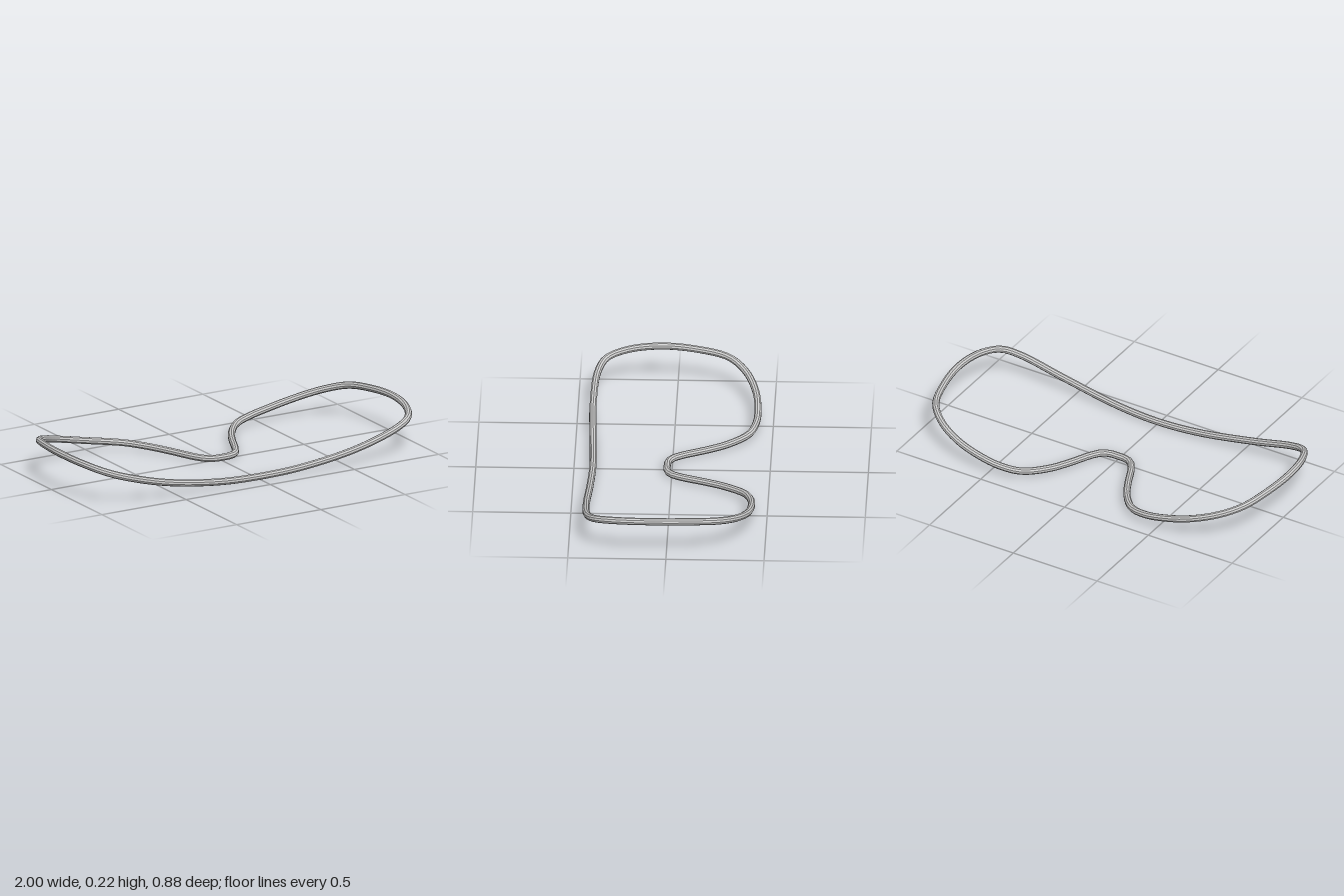
import * as THREE from 'three';

export function createModel() {
  const group = new THREE.Group();
  group.name = 'curvedWireFrame';
  const paleGrey = new THREE.MeshStandardMaterial({ color: 0xcccccc, flatShading: true });
  paleGrey.name = 'paleGrey';

  // Plan outline of the left half (x, z), from the nose notch round to the brow
  const half = [
    [0, 0.025], [0.05, 0.022], [0.085, 0.004], [0.12, -0.045], [0.18, -0.175], [0.235, -0.275],
    [0.33, -0.38], [0.43, -0.415], [0.53, -0.421], [0.68, -0.405], [0.82, -0.35],
    [0.915, -0.26], [0.963, -0.1], [0.981, 0.08], [0.957, 0.25], [0.9, 0.36],
    [0.81, 0.402], [0.57, 0.42], [0.25, 0.41], [0, 0.403],
  ];
  const mirrored = half.slice(1, -1).reverse().map(([x, z]) => [-x, z]);

  // Bend the outline: height rises with the square of x
  const points = [...half, ...mirrored].map(
    ([x, z]) => new THREE.Vector3(x, 0.019 + 0.193 * x * x, z));
  const path = new THREE.CatmullRomCurve3(points, true, 'centripetal');

  const rim = new THREE.Mesh(new THREE.TubeGeometry(path, 160, 0.0185, 10, true), paleGrey);
  rim.name = 'frameRim';
  group.add(rim);
  return group;
}
